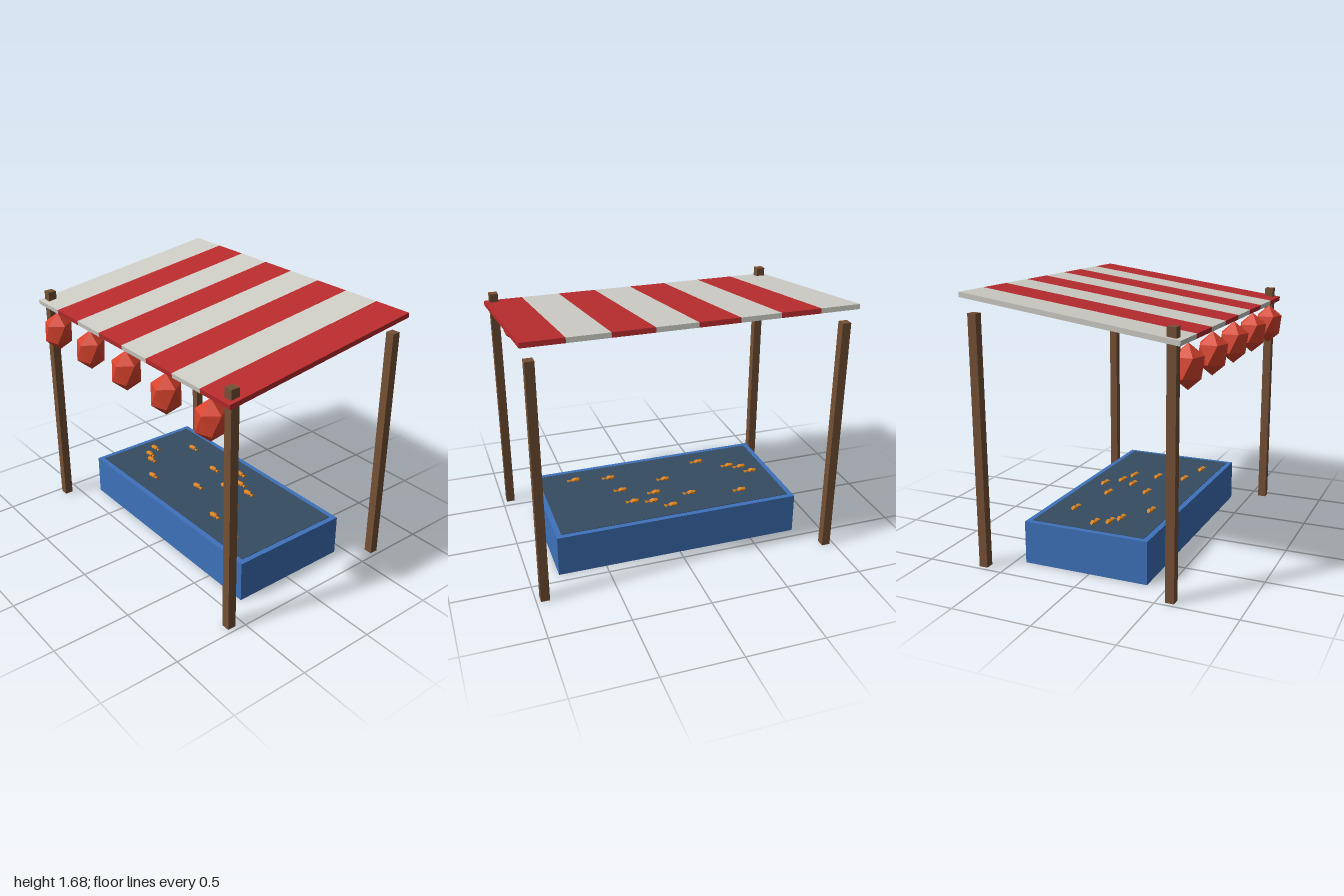
import * as THREE from 'three';
import { ConvexGeometry } from 'three/addons/geometries/ConvexGeometry.js';

function material(name, color) {
  const m = new THREE.MeshStandardMaterial({ color });
  m.name = name;
  return m;
}

// Faceted twenty-sided ball standing on a point
function facetedBall(rx, ry, rz) {
  const points = [new THREE.Vector3(0, ry, 0), new THREE.Vector3(0, -ry, 0)];
  for (let i = 0; i < 5; i++) {
    const a = (i / 5) * Math.PI * 2;
    const x = 0.8944 * Math.cos(a), z = 0.8944 * Math.sin(a);
    points.push(new THREE.Vector3(x * rx, 0.4472 * ry, z * rz));
    points.push(new THREE.Vector3(-x * rx, -0.4472 * ry, z * rz));
  }
  return new ConvexGeometry(points);
}

export function createModel() {
  const group = new THREE.Group();
  const wood = material('wood', 0x755136);
  const red = material('awningRed', 0xb92c2e);
  const white = material('awningWhite', 0xcecdc6);
  const blue = material('tankBlue', 0x3e72bb);
  const water = material('water', 0x364c62);
  const lanternRed = material('lanternRed', 0xd9432d);
  const orange = material('fishOrange', 0xd9821f);

  const add = (parent, name, geometry, mat, x, y, z) => {
    const mesh = new THREE.Mesh(geometry, mat);
    mesh.name = name;
    mesh.position.set(x, y, z);
    parent.add(mesh);
    return mesh;
  };

  // Four posts; the front pair pokes through the awning
  const postGeometry = new THREE.BoxGeometry(0.055, 1.555, 0.055);
  for (const side of [-1, 1]) {
    add(group, 'frontPost', postGeometry, wood, side * 0.945, 0.7775, 0.582);
    add(group, 'backPost', postGeometry, wood, side * 0.945, 0.7775, -0.637);
  }

  // Sloping striped awning
  const awning = new THREE.Group();
  awning.name = 'awning';
  awning.position.set(0, 1.569, -0.028);
  awning.rotation.x = 0.14;
  group.add(awning);
  const stripeGeometry = new THREE.BoxGeometry(0.25, 0.03, 1.35);
  for (let i = 0; i < 8; i++) {
    add(awning, 'awningStripe', stripeGeometry, i % 2 ? red : white, -0.875 + i * 0.25, 0, 0);
  }

  // Lanterns under the front edge
  const lanternGeometry = facetedBall(0.102, 0.13, 0.1);
  for (let i = -2; i <= 2; i++) {
    add(group, 'lantern', lanternGeometry, lanternRed, i * 0.405, 1.32, 0.615);
  }

  // Water tank
  add(group, 'tank', new THREE.BoxGeometry(1.62, 0.27, 0.81), blue, 0, 0.135, -0.027);
  add(group, 'waterSurface', new THREE.BoxGeometry(1.55, 0.004, 0.74), water, 0, 0.271, -0.027);

  // Small fish on the water, as [x, z]
  const bodyGeometry = facetedBall(0.037, 0.016, 0.022);
  const tailGeometry = new THREE.ConeGeometry(0.02, 0.035, 4).toNonIndexed();
  tailGeometry.rotateZ(Math.PI / 2);
  tailGeometry.scale(1, 0.5, 1);
  tailGeometry.computeVertexNormals();
  const spots = [
    [-0.67, -0.03], [-0.62, 0.05], [-0.545, 0.09], [-0.355, 0.21], [-0.495, -0.25],
    [-0.16, -0.18], [-0.05, 0.05], [0.007, -0.285], [0.066, -0.1], [0.113, -0.2],
    [0.235, -0.165], [0.272, 0.0], [0.305, 0.185], [0.54, 0.23],
  ];
  for (const [x, z] of spots) {
    const fish = new THREE.Group();
    fish.name = 'fish';
    fish.position.set(x, 0.278, z);
    add(fish, 'fishBody', bodyGeometry, orange, -0.008, 0, 0);
    add(fish, 'fishTail', tailGeometry, orange, 0.033, 0, 0);
    group.add(fish);
  }

  return group;
}
